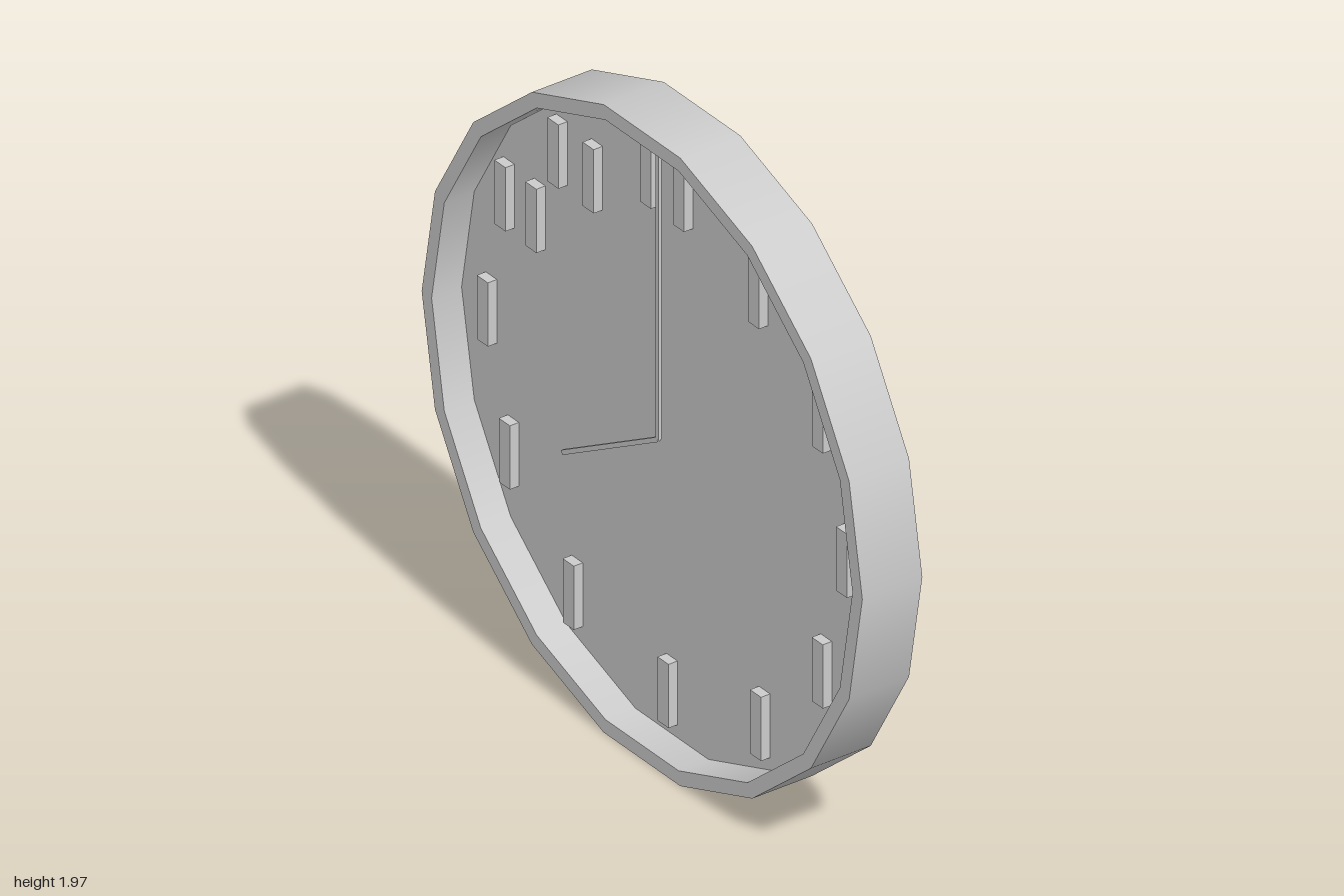
import * as THREE from 'three';

const SIDES = 18;
const RADIUS = 1;
const INNER = 0.955;
const HALF = 0.1; // half the case depth
const FLOOR = 0; // z of the recessed dial
const CENTRE_Y = RADIUS * Math.cos(Math.PI / SIDES); // stands on a flat side

export function createModel() {
  const grey = new THREE.MeshStandardMaterial({ color: 0xcccccc });
  const inward = new THREE.MeshStandardMaterial({ color: 0xcccccc, side: THREE.BackSide });
  const clock = new THREE.Group();
  clock.name = 'wallClock';
  clock.position.y = CENTRE_Y;

  const add = (name, geometry, parent = clock, material = grey) => {
    const mesh = new THREE.Mesh(geometry, material);
    mesh.name = name;
    parent.add(mesh);
    return mesh;
  };

  // Open wall of the case, running along z, with corners at x = +-radius
  const wall = (radius, z0, z1) =>
    new THREE.CylinderGeometry(radius, radius, z1 - z0, SIDES, 1, true, Math.PI / 2)
      .rotateX(Math.PI / 2)
      .translate(0, 0, (z0 + z1) / 2);

  // Case: outer wall, flat back, front rim, inner wall and sunken dial
  const body = new THREE.Group();
  body.name = 'case';
  clock.add(body);
  add('outerWall', wall(RADIUS, -HALF, HALF), body);
  add('back', new THREE.CircleGeometry(RADIUS, SIDES).rotateY(Math.PI).translate(0, 0, -HALF), body);
  add('frontRim', new THREE.RingGeometry(INNER, RADIUS, SIDES).translate(0, 0, HALF), body);
  add('innerWall', wall(INNER, FLOOR, HALF), body, inward);
  add('dial', new THREE.CircleGeometry(INNER, SIDES).translate(0, 0, FLOOR), body);

  // Plain raised hour marks, upright, doubled for the last three hours: [x, y]
  const marks = new THREE.Group();
  marks.name = 'hourMarks';
  clock.add(marks);
  const places = [
    [0.41, 0.65], [0.7, 0.4], [0.81, 0], [0.7, -0.4], [0.42, -0.7], [0, -0.8],
    [-0.43, -0.7], [-0.72, -0.4], [-0.82, 0],
    [-0.74, 0.4], [-0.6, 0.4], [-0.5, 0.65], [-0.34, 0.65], [-0.08, 0.79], [0.07, 0.79],
  ];
  const markDepth = 0.03;
  for (const [x, y] of places) {
    add('hourMark', new THREE.BoxGeometry(0.05, 0.2, markDepth), marks)
      .position.set(x, y, FLOOR + markDepth / 2);
  }

  // Thin hands reaching out from the centre, showing eight o'clock
  const hand = (name, length, hour) => {
    const mesh = add(name, new THREE.BoxGeometry(0.014, length, 0.01).translate(0, length / 2, 0));
    mesh.position.z = 0.045;
    mesh.rotation.z = -hour * Math.PI / 6;
  };
  hand('minuteHand', 0.9, 0);
  hand('hourHand', 0.5, 8);

  const model = new THREE.Group();
  model.name = 'model';
  model.add(clock);
  return model;
}
